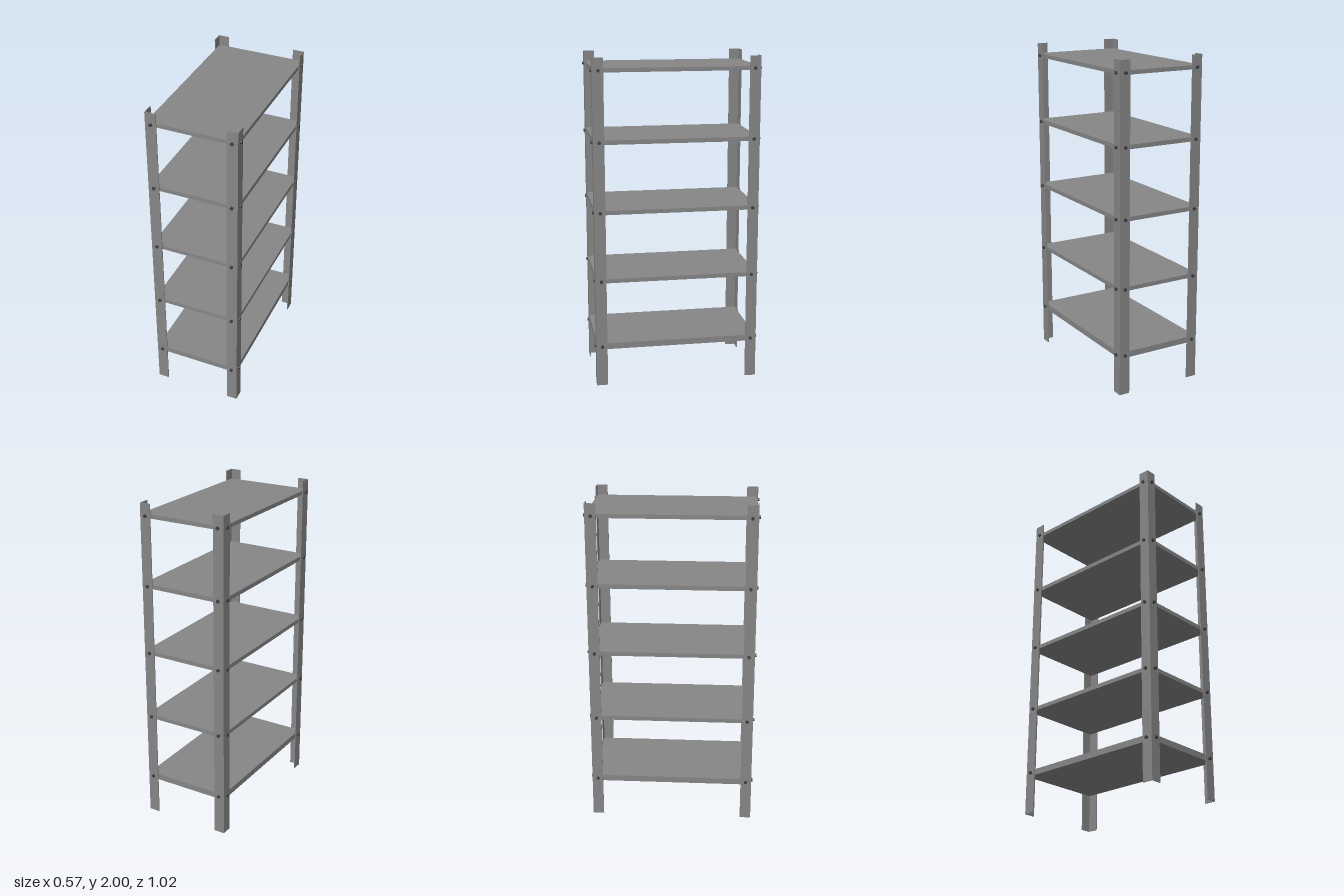
import * as THREE from 'three';

const HX = 0.275, HZ = 0.499;   // outer half extents of the posts
const FLANGE = 0.067, T = 0.005; // angle-iron width and thickness
const HEIGHT = 2;
// shelf centre height and thickness
const SHELVES = [[0.25, 0.037], [0.665, 0.025], [1.087, 0.025], [1.508, 0.026], [1.927, 0.024]];

export function createModel() {
  const group = new THREE.Group();
  const steel = new THREE.MeshStandardMaterial({ color: 0x868686, flatShading: true });
  const darkSteel = new THREE.MeshStandardMaterial({ color: 0x404040, flatShading: true });
  const add = (name, geometry, material, x = 0, y = 0, z = 0) => {
    const mesh = new THREE.Mesh(geometry, material);
    mesh.name = name;
    mesh.position.set(x, y, z);
    group.add(mesh);
  };

  // Bolt heads lying along x or z
  const boltX = new THREE.CylinderGeometry(0.01, 0.01, 0.01, 12).rotateZ(Math.PI / 2);
  const boltZ = new THREE.CylinderGeometry(0.01, 0.01, 0.01, 12).rotateX(Math.PI / 2);

  // Flat shelves fitting inside the posts
  for (const [y, thickness] of SHELVES) {
    add('shelf', new THREE.BoxGeometry(2 * (HX - T), thickness, 2 * (HZ - T)), steel, 0, y, 0);
  }

  for (const sx of [-1, 1]) {
    for (const sz of [-1, 1]) {
      // L-section corner post
      const section = [
        [HX, HZ], [HX - FLANGE, HZ], [HX - FLANGE, HZ - T],
        [HX - T, HZ - T], [HX - T, HZ - FLANGE], [HX, HZ - FLANGE],
      ].map(([x, z]) => new THREE.Vector2(sx * x, -sz * z));
      const post = new THREE.ExtrudeGeometry(new THREE.Shape(section), { depth: HEIGHT, bevelEnabled: false });
      add('cornerPost', post.rotateX(-Math.PI / 2), steel);

      // Two bolts per shelf, one through each flange
      for (const [y] of SHELVES) {
        add('sideBolt', boltX, darkSteel, sx * (HX + 0.004), y, sz * (HZ - 0.036));
        add('endBolt', boltZ, darkSteel, sx * (HX - 0.035), y, sz * (HZ + 0.004));
      }
    }
  }
  return group;
}
